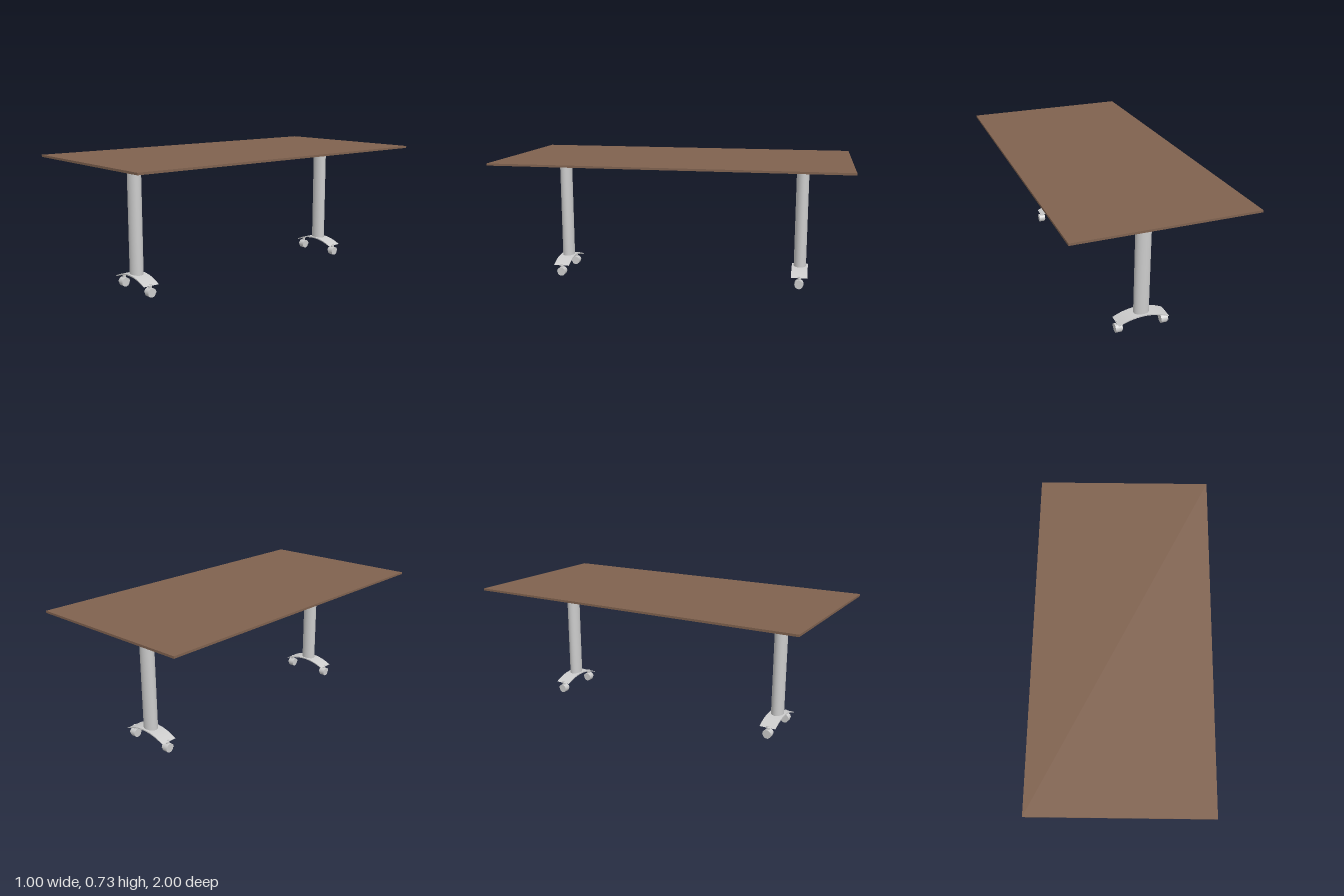
import * as THREE from 'three';

const grey = new THREE.MeshStandardMaterial({ color: 0xcccccc });
const wood = new THREE.MeshStandardMaterial({ color: 0x80624f });

function add(parent, name, geometry, material, x = 0, y = 0, z = 0) {
  const mesh = new THREE.Mesh(geometry, material);
  mesh.name = name;
  mesh.position.set(x, y, z);
  parent.add(mesh);
  return mesh;
}

// Thin arched foot: outer and inner arcs meeting near the tips
function footGeometry(width) {
  const outerR = 0.307, innerR = 0.33;
  const outer = Math.asin(0.146 / outerR), inner = Math.asin(0.141 / innerR);
  const shape = new THREE.Shape();
  shape.absarc(0, 0.104 - outerR, outerR, Math.PI / 2 - outer, Math.PI / 2 + outer, false);
  shape.absarc(0, 0.097 - innerR, innerR, Math.PI / 2 + inner, Math.PI / 2 - inner, true);
  shape.closePath();
  const geometry = new THREE.ExtrudeGeometry(shape, { depth: width, bevelEnabled: false, curveSegments: 24 });
  return geometry.translate(0, 0, -width / 2);
}

// Wheel under a half-round hood, on a short swivel stem
function createCaster() {
  const caster = new THREE.Group();
  caster.name = 'caster';
  const wheel = new THREE.CylinderGeometry(0.024, 0.024, 0.034, 32).rotateZ(Math.PI / 2);
  add(caster, 'wheel', wheel, grey, 0, 0.026, 0);
  const half = new THREE.Shape();
  half.absarc(0, 0, 0.026, 0, Math.PI, false);
  half.closePath();
  const hood = new THREE.ExtrudeGeometry(half, { depth: 0.04, bevelEnabled: false, curveSegments: 20 });
  hood.translate(0, 0, -0.02).rotateY(Math.PI / 2);
  add(caster, 'wheelHood', hood, grey, 0, 0.028, 0);
  add(caster, 'stem', new THREE.CylinderGeometry(0.01, 0.01, 0.024, 20), grey, 0, 0.061, 0);
  return caster;
}

function createLeg() {
  const leg = new THREE.Group();
  leg.name = 'leg';
  // Oval column
  const column = new THREE.CylinderGeometry(1, 1, 0.6, 48).scale(0.043, 1, 0.036);
  add(leg, 'column', column, grey, 0, 0.4, 0);
  add(leg, 'foot', footGeometry(0.094), grey);
  for (const side of [-1, 1]) {
    const caster = createCaster();
    caster.position.x = side * 0.133;
    leg.add(caster);
  }
  return leg;
}

export function createModel() {
  const table = new THREE.Group();
  table.name = 'table';
  add(table, 'tableTop', new THREE.BoxGeometry(1, 0.012, 2), wood, 0, 0.729, 0);
  // Legs and mounting plates at both ends
  for (const side of [-1, 1]) {
    const leg = createLeg();
    leg.position.set(0.011, 0, side * 0.721 - 0.005);
    table.add(leg);
    add(table, 'mountingPlate', new THREE.BoxGeometry(0.505, 0.015, 0.146), grey, 0.008, 0.7155, side * 0.721 - 0.002);
  }
  return table;
}
